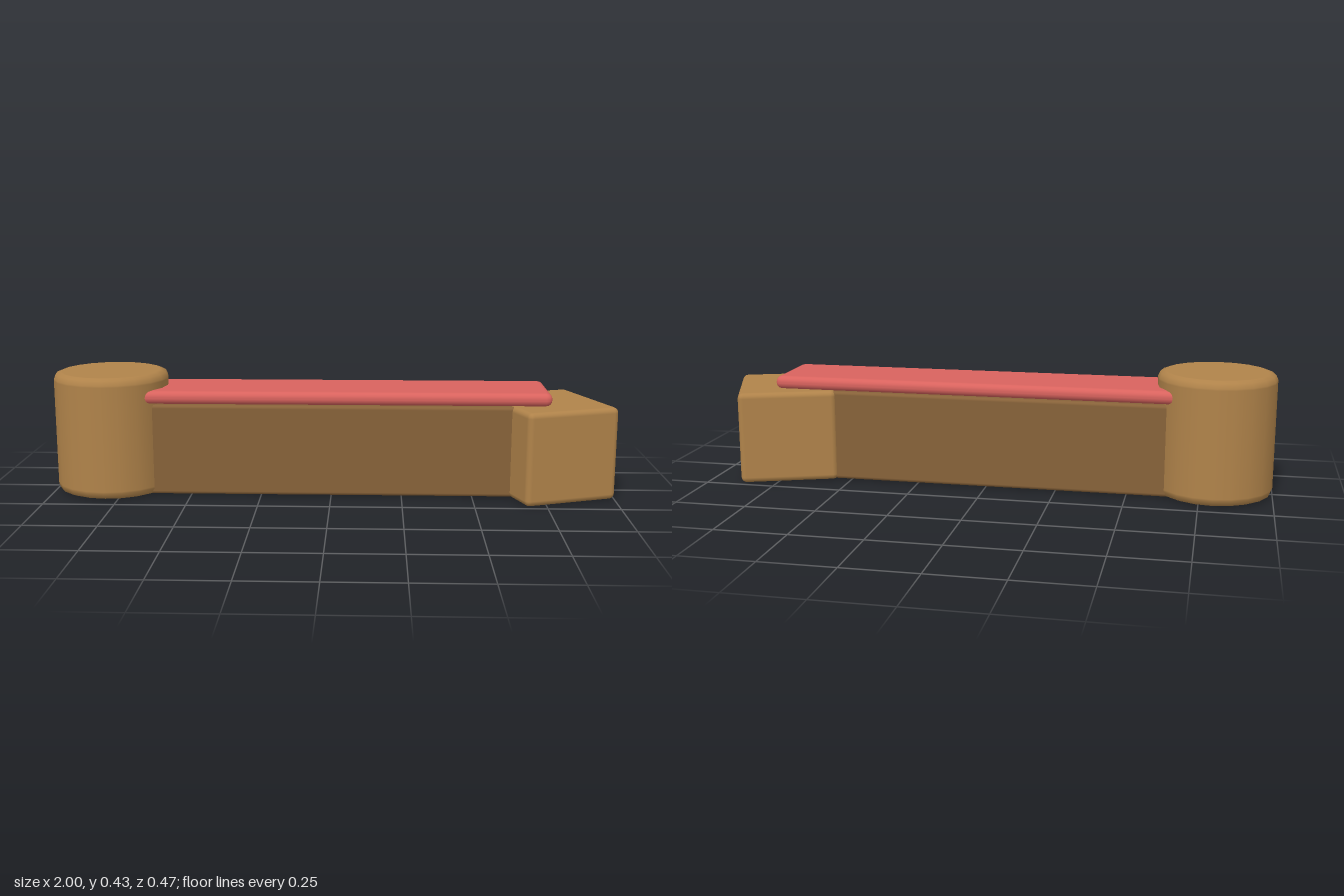
import * as THREE from 'three';
import { RoundedBoxGeometry } from 'three/addons/geometries/RoundedBoxGeometry.js';

function material(name, color) {
  const m = new THREE.MeshStandardMaterial({ color });
  m.name = name;
  return m;
}

export function createModel() {
  const group = new THREE.Group();
  const wood = material('wood', 0xb0834a);
  const darkWood = material('darkWood', 0x876239);
  const red = material('red', 0xd9635e);

  const add = (name, geometry, mat, x, y, z = 0) => {
    const mesh = new THREE.Mesh(geometry, mat);
    mesh.name = name;
    mesh.position.set(x, y, z);
    group.add(mesh);
    return mesh;
  };
  // Box with softly rounded edges, standing on the given base height
  const block = (name, w, h, d, r, mat, x, base) =>
    add(name, new RoundedBoxGeometry(w, h, d, 2, r), mat, x, base + h / 2);

  // Round post with softened rims
  const R = 0.204, H = 0.432, b = 0.024;
  const profile = [
    [0, 0], [R - b - 0.006, 0], [R - b, 0.0005], [R - b * 0.3, b * 0.3], [R, b], [R, b + 0.006],
    [R, H - b - 0.006], [R, H - b], [R - b * 0.3, H - b * 0.3], [R - b, H - 0.0005], [R - b - 0.006, H], [0, H],
  ].map(([x, y]) => new THREE.Vector2(x, y));
  add('roundPost', new THREE.LatheGeometry(profile, 20), wood, -0.796, 0);

  // Long wall running from the post into the end block
  block('wall', 1.46, 0.324, 0.24, 0.012, darkWood, 0, 0.003);

  // Turned end block
  block('endBlock', 0.349, 0.33, 0.39, 0.02, wood, 0.775, 0).rotation.y = THREE.MathUtils.degToRad(20);

  // Cushioned slab along the top
  block('topSlab', 1.54, 0.047, 0.28, 0.022, red, 0, 0.332);

  return group;
}
